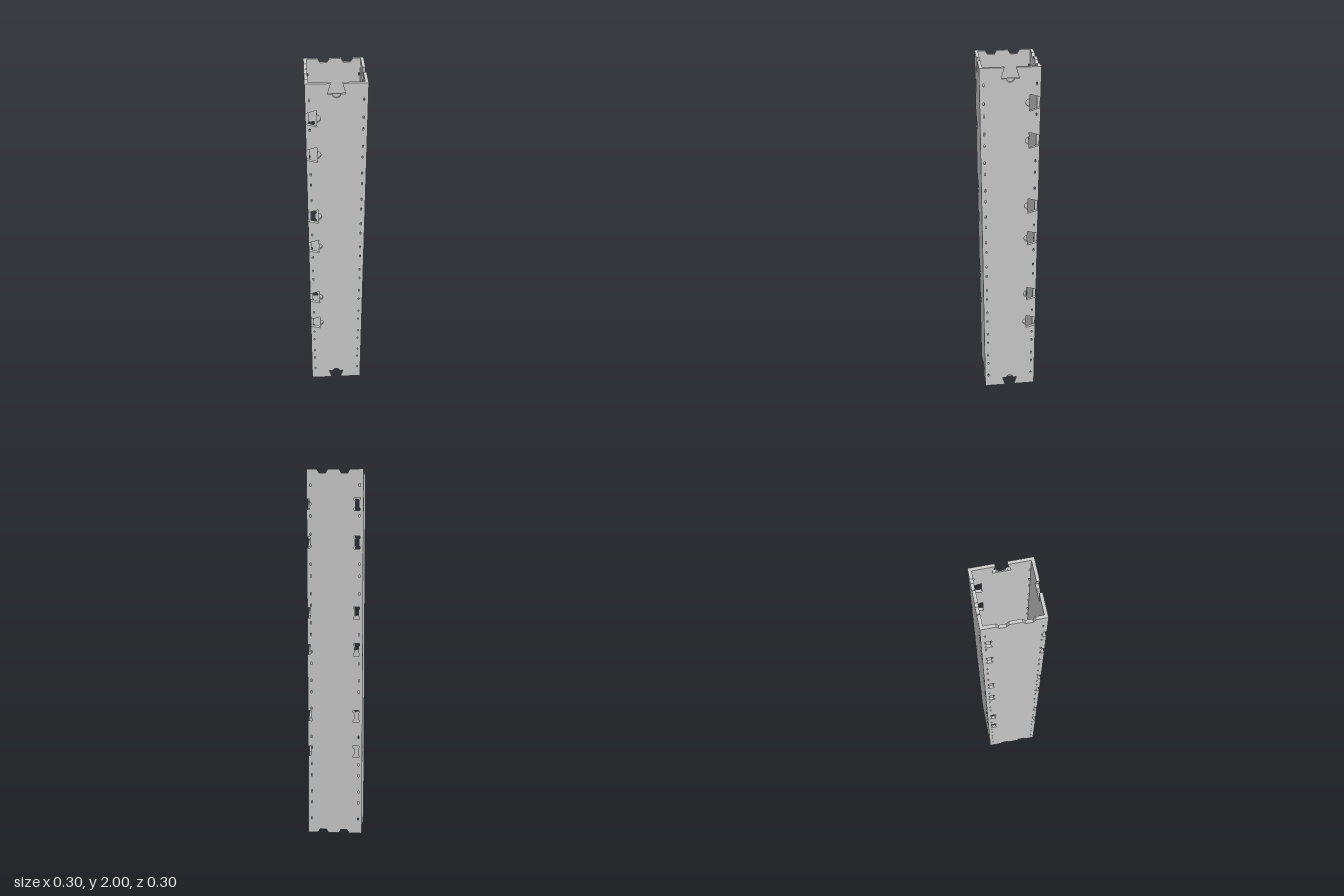
import * as THREE from 'three';

const HALF = 0.15, T = 0.016, SKIN = 0.01, H = 2;
const SLOT_Y = [0.475, 0.675, 1.045, 1.245, 1.62, 1.82];

// Profiles cut into an edge: [distance along the edge, depth into the panel]
const dovetail = (pocket) => {
  const pts = [[-0.028, 0], [-0.044, 0.055]];
  if (pocket) {
    for (let i = 0; i <= 10; i++) {
      const a = Math.PI * (1 - i / 10);
      pts.push([0.02 * Math.cos(a), 0.053 + 0.02 * Math.sin(a)]);
    }
  }
  return [...pts, [0.044, 0.055], [0.028, 0]];
};
const notch = [[-0.029, 0], [-0.017, 0.02], [0.017, 0.02], [0.029, 0]];

// Places a profile on an edge travelled in direction (tx, ty), inward to its left
const cut = (profile, cx, cy, tx, ty) =>
  profile.map(([s, d]) => [cx + s * tx - d * ty, cy + s * ty + d * tx]);

const toPoints = (pts, flip) => pts.map(([x, y]) => new THREE.Vector2(x * flip, y));

// Outline of a panel with dovetail slots on its side, top and bottom edges
function slottedOutline(right, pocket) {
  const d = dovetail(pocket);
  return [
    [-HALF, 0], ...cut(d, 0, 0, 1, 0), [right, 0],
    [right, H], ...cut(d, 0, H, -1, 0), [-HALF, H],
    ...[...SLOT_Y].reverse().flatMap((y) => cut(d, -HALF, y, 0, -1)),
  ];
}

// Outline of a panel with two shallow notches at each end
function notchedOutline(left, right) {
  const c = [-0.05, 0.067];
  return [
    [left, 0], ...c.flatMap((x) => cut(notch, x, 0, 1, 0)), [right, 0],
    [right, H], ...[...c].reverse().flatMap((x) => cut(notch, x, H, -1, 0)), [left, H],
  ];
}

// Waisted hole facing each side slot
const waistedHole = (y) => [
  [-0.133, -0.034], [-0.1, -0.034], [-0.1, -0.022], [-0.107, -0.016],
  [-0.107, 0.016], [-0.1, 0.022], [-0.1, 0.034], [-0.133, 0.034],
  [-0.133, 0.022], [-0.127, 0.016], [-0.127, -0.016], [-0.133, -0.022],
].map(([x, dy]) => [x, y + dy]);

// Two columns of small pin holes, leaving out those that meet a slot
function pinHoles() {
  const holes = [];
  for (const x of [-0.13, 0.13]) {
    for (let i = 0; i < 24; i++) {
      const y = 0.092 + i * 0.079 + (i % 2 ? 0.008 : -0.008);
      if (x < 0 && SLOT_Y.some((s) => Math.abs(s - y) < 0.056)) continue;
      holes.push([[x - 0.003, y - 0.007], [x + 0.003, y - 0.007],
        [x + 0.003, y + 0.007], [x - 0.003, y + 0.007]]);
    }
  }
  return holes;
}

export function createModel() {
  const model = new THREE.Group();
  model.name = 'slottedSquareTube';
  const material = new THREE.MeshStandardMaterial({ color: 0xcccccc, flatShading: true });

  const layer = (outline, holes, flip, z, depth, name) => {
    const shape = new THREE.Shape(toPoints(outline, flip));
    shape.holes = holes.map((h) => new THREE.Path(toPoints(h, flip)));
    const geometry = new THREE.ExtrudeGeometry(shape, { depth, bevelEnabled: false });
    geometry.translate(0, 0, z);
    const mesh = new THREE.Mesh(geometry, material);
    mesh.name = name;
    return mesh;
  };

  const addPanel = (name, angle, ...layers) => {
    const panel = new THREE.Group();
    panel.name = name;
    panel.rotation.y = angle;
    panel.add(...layers);
    model.add(panel);
  };

  const pins = pinHoles();
  const inner = HALF - T;

  // Slotted panels: round pockets are sunk only into the outer layer
  for (const [name, angle, right, flip] of [
    ['frontPanel', 0, HALF, 1],
    ['leftPanel', Math.PI / 2, inner, -1],
  ]) {
    const holes = pins.filter((h) => h[1][0] < right);
    addPanel(name, angle,
      layer(slottedOutline(right, false), holes, flip, inner, T - SKIN, 'innerLayer'),
      layer(slottedOutline(right, true), holes, flip, HALF - SKIN, SKIN, 'outerLayer'));
  }

  // Notched panels with waisted holes
  for (const [name, angle, left, flip] of [
    ['backPanel', Math.PI, -HALF, -1],
    ['rightPanel', -Math.PI / 2, -inner, 1],
  ]) {
    const holes = [...pins.filter((h) => h[0][0] > left), ...SLOT_Y.map(waistedHole)];
    addPanel(name, angle, layer(notchedOutline(left, inner), holes, flip, inner, T, 'panel'));
  }
  return model;
}
